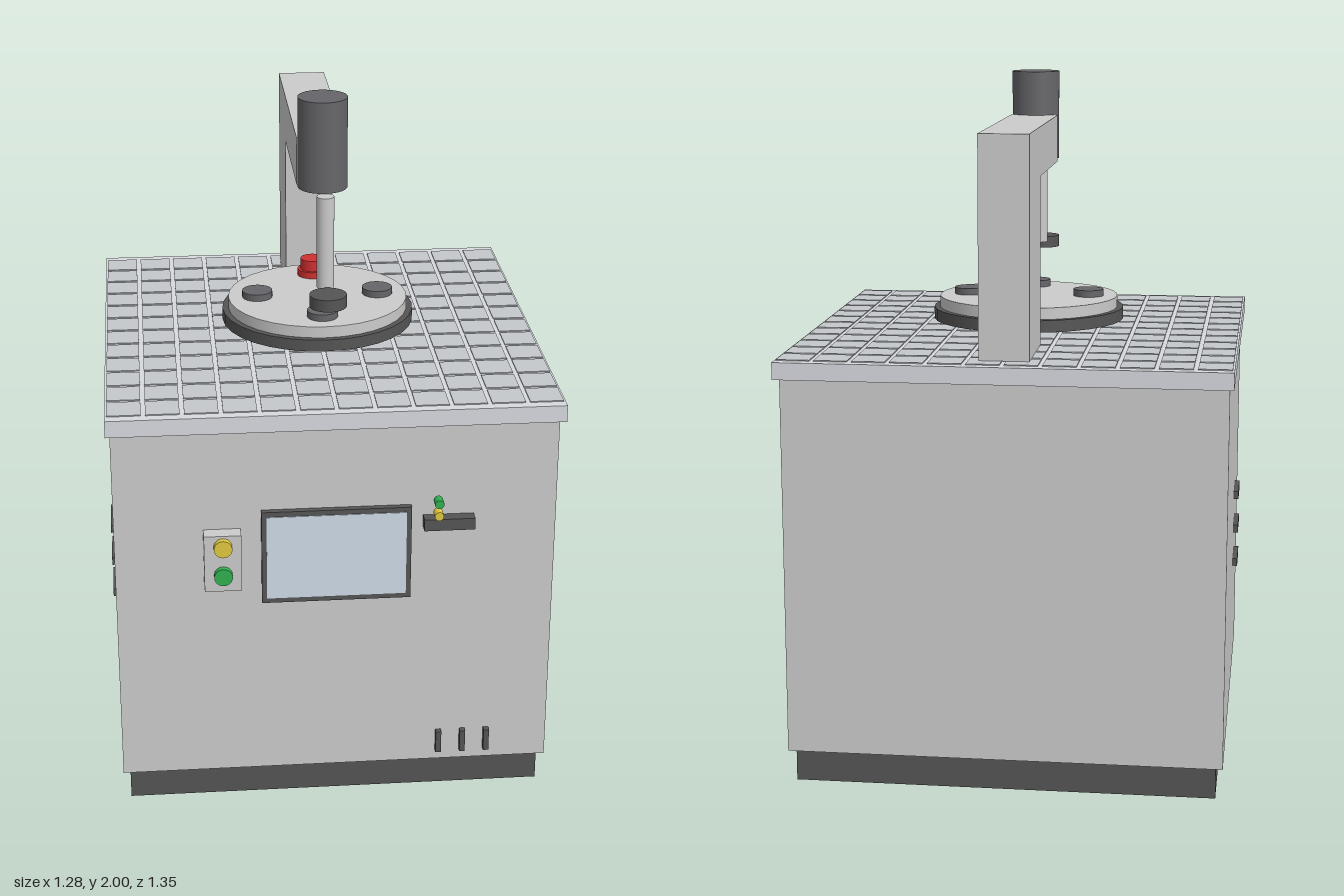
import * as THREE from 'three';

const material = (color = 0xcccccc) => new THREE.MeshStandardMaterial({ color });
const GREY = material();
const TOP = material(0xd8dae0);
const TILE = material(0xc4c8cc);
const DARK = material(0x555555);
const MOTOR = material(0x66666a);
const GLASS = material(0xcfdce8);
const RED = material(0xd03030);
const YELLOW = material(0xe0c840);
const GREEN = material(0x30b050);

const CZ = -0.015; // depth centre of the cabinet

export function createModel() {
  const model = new THREE.Group();
  model.name = 'rotaryWorkstation';

  const add = (name, geometry, mat, x, y, z, parent = model) => {
    const mesh = new THREE.Mesh(geometry, mat);
    mesh.name = name;
    mesh.position.set(x, y, z);
    parent.add(mesh);
    return mesh;
  };
  // box from its limits on each axis
  const box = (name, mat, [x0, x1], [y0, y1], [z0, z1], parent) =>
    add(name, new THREE.BoxGeometry(x1 - x0, y1 - y0, z1 - z0), mat,
      (x0 + x1) / 2, (y0 + y1) / 2, (z0 + z1) / 2, parent);
  // upright cylinder
  const disc = (name, mat, r, y0, y1, x, z, parent) =>
    add(name, new THREE.CylinderGeometry(r, r, y1 - y0, 32), mat, x, (y0 + y1) / 2, z, parent);
  // cylinder lying along z
  const knob = (name, mat, r, x, y, z0, z1, parent) => {
    const geometry = new THREE.CylinderGeometry(r, r, z1 - z0, 24).rotateX(Math.PI / 2);
    return add(name, geometry, mat, x, y, (z0 + z1) / 2, parent);
  };

  // cabinet
  box('plinth', DARK, [-0.605, 0.605], [0, 0.095], [CZ - 0.605, CZ + 0.605]);
  box('cabinet', GREY, [-0.625, 0.625], [0.095, 1.193], [CZ - 0.625, CZ + 0.625]);
  box('tableTop', TOP, [-0.637, 0.637], [1.193, 1.242], [CZ - 0.662, CZ + 0.662]);

  // tiled work surface
  const pitch = 0.1063, count = 12;
  const tiles = new THREE.InstancedMesh(
    new THREE.BoxGeometry(0.094, 0.004, 0.094), TILE, count * count);
  tiles.name = 'tableTiles';
  const matrix = new THREE.Matrix4();
  for (let i = 0; i < count; i++) {
    for (let j = 0; j < count; j++) {
      matrix.makeTranslation((i - 5.5) * pitch, 1.243, CZ + (j - 5.5) * pitch);
      tiles.setMatrixAt(i * count + j, matrix);
    }
  }
  model.add(tiles);

  // turntable with four stations, the rear one carrying a red part
  const turntable = new THREE.Group();
  turntable.name = 'turntable';
  model.add(turntable);
  disc('turntableRim', DARK, 0.285, 1.273, 1.308, 0, CZ, turntable);
  disc('turntablePlate', GREY, 0.267, 1.308, 1.342, 0, CZ, turntable);
  for (let i = 0; i < 4; i++) {
    const a = (i * Math.PI) / 2;
    disc('station', i === 2 ? RED : MOTOR, 0.045, 1.342, 1.362,
      0.18 * Math.sin(a), CZ + 0.18 * Math.cos(a), turntable);
  }
  disc('redButton', RED, 0.036, 1.362, 1.395, 0, CZ - 0.18, turntable);

  // overhead arm, an inverted L extruded across x
  const profile = new THREE.Shape([
    [-0.597, 1.245], [-0.329, 1.245], [-0.329, 1.73],
    [0.118, 1.73], [0.118, 1.87], [-0.597, 1.87],
  ].map(([z, y]) => new THREE.Vector2(-z, y)));
  const armGeometry = new THREE.ExtrudeGeometry(profile, { depth: 0.142, bevelEnabled: false });
  armGeometry.translate(0, 0, -0.071).rotateY(Math.PI / 2);
  add('arm', armGeometry, GREY, 0, 0, 0);

  // spindle head
  disc('motor', MOTOR, 0.071, 1.737, 2, 0, 0.163);
  disc('rod', GREY, 0.025, 1.467, 1.737, 0, 0.255);
  disc('pressPad', DARK, 0.053, 1.442, 1.477, 0, 0.344);

  // screen
  const front = CZ + 0.625;
  box('screenFrame', DARK, [-0.212, 0.212], [0.653, 0.939], [front, 0.628]);
  box('screen', GLASS, [-0.198, 0.198], [0.668, 0.924], [0.62, 0.63]);

  // push-button box
  box('buttonBox', GREY, [-0.375, -0.27], [0.711, 0.884], [front, 0.655]);
  knob('yellowButton', YELLOW, 0.026, -0.322, 0.851, 0.655, 0.673);
  knob('greenButton', GREEN, 0.026, -0.322, 0.763, 0.655, 0.673);

  // small shelf with indicator lamps
  box('shelf', DARK, [0.246, 0.39], [0.87, 0.905], [front, 0.645]);
  knob('yellowLamp', YELLOW, 0.013, 0.285, 0.923, 0.63, 0.663);
  knob('greenLamp', GREEN, 0.013, 0.285, 0.96, 0.63, 0.663);

  // vents low on the front and on the right side
  for (const x of [0.304, 0.375, 0.446])
    box('frontVent', DARK, [x - 0.008, x + 0.008], [0.127, 0.196], [front, 0.628]);
  for (const y of [0.493, 0.6, 0.708])
    box('sideVent', DARK, [-0.64, -0.625], [y - 0.012, y + 0.012], [0.092, 0.235]);

  return model;
}
